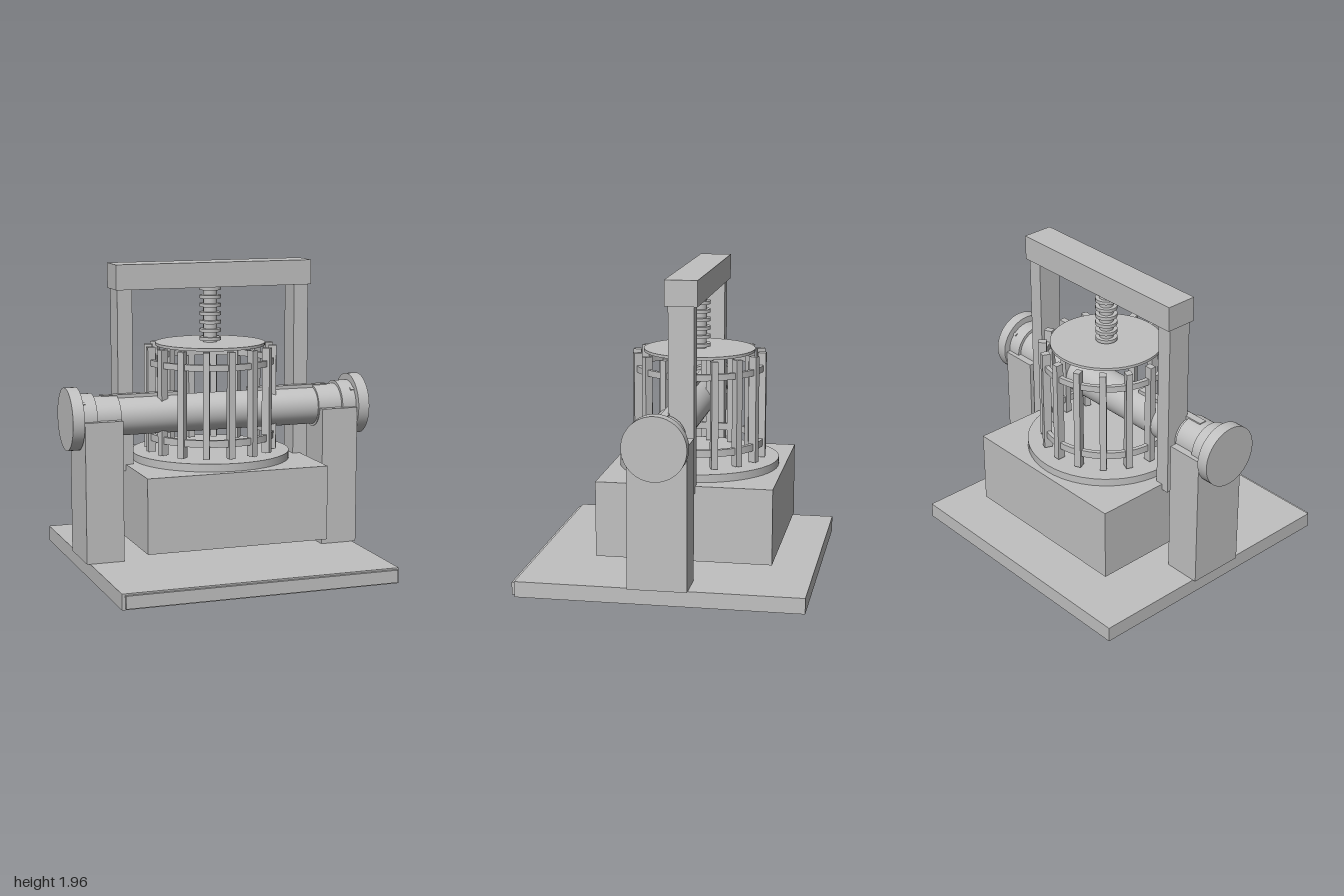
import * as THREE from 'three';
import { toCreasedNormals } from 'three/addons/utils/BufferGeometryUtils.js';

export function createModel() {
  const model = new THREE.Group();
  model.name = 'screwPress';
  const grey = new THREE.MeshStandardMaterial({ color: 0xc0c0c0 });
  grey.name = 'plain grey';

  const CAGE_Z = -0.115; // axis of cage and screw
  const SHAFT_Z = -0.01; // axis of the cross shaft
  const SHAFT_Y = 1.0;

  function add(name, geometry, x = 0, y = 0, z = 0) {
    const mesh = new THREE.Mesh(geometry, grey);
    mesh.name = name;
    mesh.position.set(x, y, z);
    model.add(mesh);
    return mesh;
  }
  // Box given by its limits on each axis
  function box(name, x0, x1, y0, y1, z0, z1) {
    return add(name, new THREE.BoxGeometry(x1 - x0, y1 - y0, z1 - z0),
      (x0 + x1) / 2, (y0 + y1) / 2, (z0 + z1) / 2);
  }
  // Upright disc on the cage axis
  function disc(name, r, y0, y1, sides = 48) {
    return add(name, new THREE.CylinderGeometry(r, r, y1 - y0, sides), 0, (y0 + y1) / 2, CAGE_Z);
  }
  // Cylinder along x on the shaft axis
  function axle(name, r, x0, x1) {
    const g = new THREE.CylinderGeometry(r, r, Math.abs(x1 - x0), 48).rotateZ(Math.PI / 2);
    return add(name, g, (x0 + x1) / 2, SHAFT_Y, SHAFT_Z);
  }
  // Flat hoop around the cage axis
  function hoop(name, rIn, rOut, y0, y1) {
    const profile = [[rIn, y0], [rOut, y0], [rOut, y1], [rIn, y1], [rIn, y0]]
      .map(([r, y]) => new THREE.Vector2(r, y));
    return add(name, toCreasedNormals(new THREE.LatheGeometry(profile, 48), 0.6), 0, 0, CAGE_Z);
  }

  // Base and body
  box('basePlate', -0.9, 0.895, 0, 0.1, -0.91, 0.89);
  box('baseFrontStrip', -0.88, 0.88, 0.01, 0.09, 0.89, 0.91);
  box('bodyBlock', -0.6, 0.6, 0.2, 0.68, -0.67, 0.44);
  disc('tray', 0.515, 0.68, 0.73);

  // Cage of upright slats
  const SLATS = 16;
  for (let i = 0; i < SLATS; i++) {
    const a = (i / SLATS) * Math.PI * 2;
    const slat = add('cageSlat', new THREE.BoxGeometry(0.042, 0.68, 0.052),
      Math.sin(a) * 0.404, 1.08, CAGE_Z + Math.cos(a) * 0.404);
    slat.rotation.y = a;
  }
  hoop('lowerHoop', 0.388, 0.415, 0.815, 0.86);
  hoop('upperHoop', 0.388, 0.415, 1.3, 1.34);

  // Press plate and threaded screw
  disc('pressPlate', 0.357, 1.42, 1.438);
  disc('screwCore', 0.045, 1.43, 1.82, 16);
  for (let i = 0; i < 7; i++) {
    const y = 1.46 + i * 0.0545;
    disc('screwThread', 0.07, y - 0.011, y + 0.011, 16);
  }

  // Overhead frame
  box('topBeam', -0.66, 0.66, 1.8, 1.96, -0.213, -0.01);

  // Cross shaft with its bearings
  axle('crossShaft', 0.122, -0.7, 0.7);
  for (const s of [-1, 1]) {
    const span = (a, b) => (s < 0 ? [-b, -a] : [a, b]);
    box('framePost', ...span(0.55, 0.648), 0.64, 1.8, -0.19, -0.03);
    box('shaftSupport', ...span(0.675, 0.92), 0.1, 1.0, -0.195, 0.175);
    box('shaftKey', ...span(0.22, 0.77), 1.1, 1.142, -0.04, 0.01);
    axle('innerCollar', 0.137, s * 0.67, s * 0.83);
    axle('outerCollar', 0.157, s * 0.83, s * 0.93);
    axle('endCap', 0.2, s * 0.925, s * 1.0);
    // Small lugs between outer collar and end cap
    for (let k = 0; k < 4; k++) {
      const a = Math.PI / 4 + (k * Math.PI) / 2;
      const lug = add('collarLug', new THREE.BoxGeometry(0.03, 0.02, 0.02), s * 0.915,
        SHAFT_Y + Math.sin(a) * 0.153, SHAFT_Z + Math.cos(a) * 0.153);
      lug.rotation.x = -a;
    }
  }
  return model;
}
